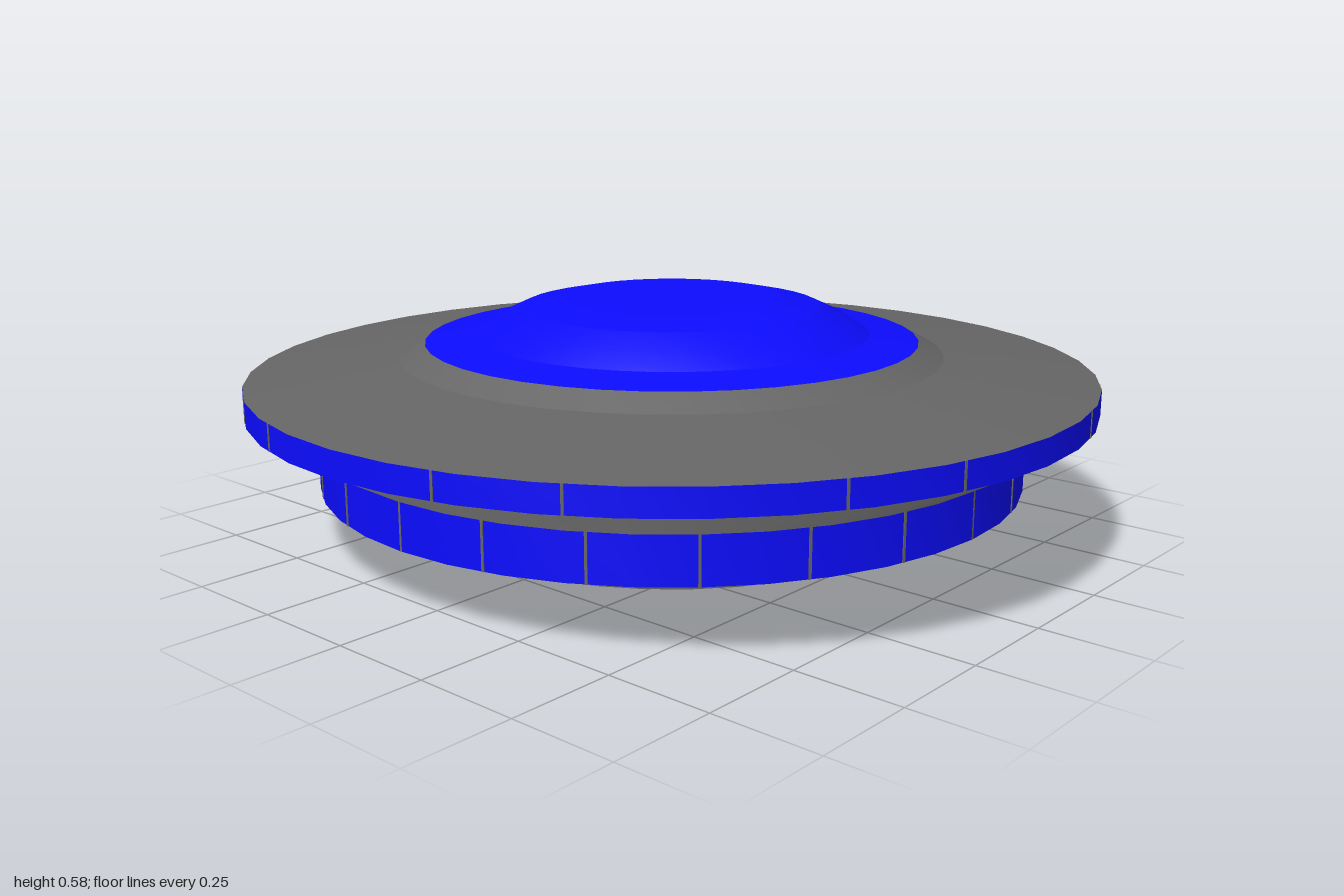
import * as THREE from 'three';
import { toCreasedNormals } from 'three/addons/utils/BufferGeometryUtils.js';

const SIDES = 40;
const paint = (color) => new THREE.MeshStandardMaterial({ color, side: THREE.DoubleSide });
const hull = paint(0x666666);
const blue = paint(0x0c0cff);
const green = paint(0x10a010);
const cyan = paint(0x10c8c8);
const grey = paint(0xcccccc);

export function createModel() {
  const model = new THREE.Group();

  const add = (name, geometry, material, parent = model) => {
    const mesh = new THREE.Mesh(geometry, material);
    mesh.name = name;
    parent.add(mesh);
    return mesh;
  };

  // Round part from [radius, height] points listed from the bottom up
  const round = (name, points, material) => add(name, toCreasedNormals(
    new THREE.LatheGeometry(points.map(([r, y]) => new THREE.Vector2(r, y)), SIDES), 0.17), material);

  // Stepped profile: each [radius, bottom] holds its radius until the next step
  const stepped = (steps, top) => steps.flatMap(([r, y], i) =>
    [[r, y], [r, i + 1 < steps.length ? steps[i + 1][1] : top]]);

  // Thin seams between the 24 panels of a vertical band
  const seams = (name, radius, y0, y1) => {
    const group = new THREE.Group();
    group.name = name;
    for (let i = 0; i < 24; i++) {
      const a = (i / 24) * Math.PI * 2;
      const seam = add('seam', new THREE.BoxGeometry(0.006, y1 - y0, 0.006), hull, group);
      seam.position.set(Math.sin(a) * radius, (y0 + y1) / 2, Math.cos(a) * radius);
      seam.rotation.y = a;
    }
    model.add(group);
  };

  // Stepped belly
  const belly = [[0.395, 0], [0.45, 0.018], [0.51, 0.035], [0.56, 0.05], [0.61, 0.065],
    [0.64, 0.085], [0.665, 0.105], [0.69, 0.125]];
  round('belly', [[0, 0], ...stepped(belly, 0.155)], hull);

  // Lower band with its flat underside
  round('lowerBandUnderside', [[0.68, 0.155], [0.838, 0.155]], hull);
  round('lowerBand', [[0.838, 0.155], [0.838, 0.262]], blue);
  seams('lowerBandSeams', 0.835, 0.155, 0.262);

  // Stepped flare between band and rim
  const flare = Array.from({ length: 6 }, (_, i) => [0.84 + i * 0.024, 0.262 + i * 0.0133]);
  round('flare', [[0.83, 0.262], ...stepped(flare, 0.345), [0.997, 0.345]], hull);
  round('greenRing', [[0.95, 0.338], [0.968, 0.338], [0.968, 0.346]], green);

  // Rim
  round('rim', [[0.999, 0.345], [0.999, 0.405]], blue);
  seams('rimSeams', 0.995, 0.345, 0.405);

  // Upper deck and dome
  round('upperDeck', [[0.999, 0.405], [0.645, 0.447], [0.585, 0.48]], hull);
  round('dome', [[0.585, 0.48], [0.47, 0.495], [0.42, 0.527], [0.355, 0.557],
    [0.265, 0.576], [0, 0.583]], blue);

  // Open hatch at the back: roof and walls in one bent shell, floor and curved inner panel
  const hatch = new THREE.Group();
  hatch.name = 'rearHatch';
  model.add(hatch);
  const arch = (w, top, r) => {
    const y0 = 0.158;
    return [[-w, y0], [-w, top - r], [-w + r, top], [w - r, top], [w, top - r], [w, y0]]
      .map(([x, y]) => new THREE.Vector2(x, y));
  };
  const frame = new THREE.Shape([...arch(0.305, 0.246, 0.02), ...arch(0.285, 0.23, 0.014).reverse()]);
  add('hatchFrame', new THREE.ExtrudeGeometry(frame, { depth: 0.08, bevelEnabled: false }), grey, hatch)
    .position.z = -0.865;
  add('hatchFloor', new THREE.BoxGeometry(0.61, 0.006, 0.08), hull, hatch)
    .position.set(0, 0.158, -0.825);
  const half = Math.asin(0.285 / 0.842);
  add('hatchPanel', new THREE.CylinderGeometry(0.842, 0.842, 0.07, 12, 1, true,
    Math.PI - half, half * 2), cyan, hatch).position.y = 0.196;

  return model;
}
